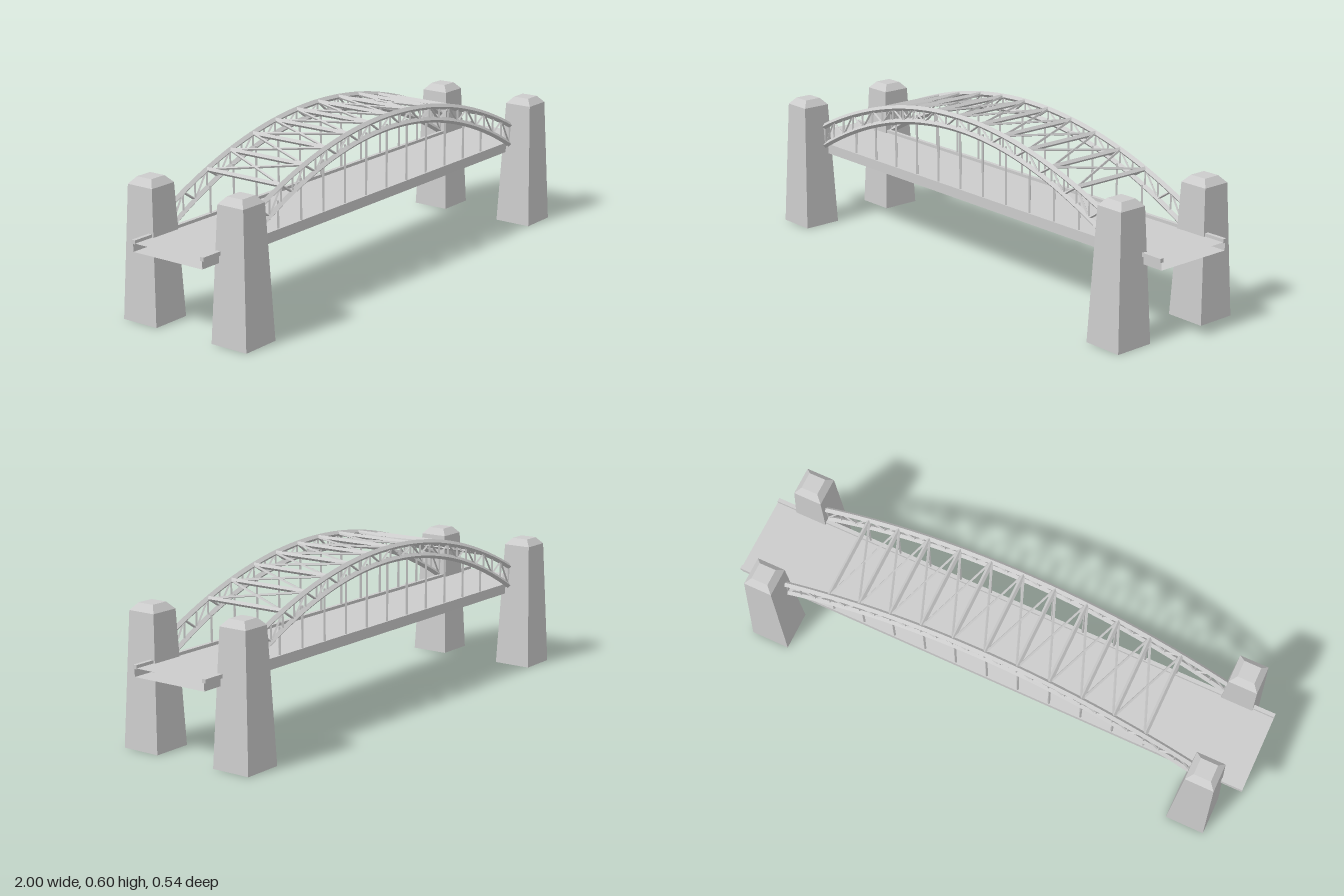
import * as THREE from 'three';

const grey = new THREE.MeshStandardMaterial({ color: 0xcccccc, flatShading: true });
const greyOpen = new THREE.MeshStandardMaterial({ color: 0xcccccc, flatShading: true, side: THREE.DoubleSide });

const SPAN = 0.8, PANELS = 26, ARCH_Z = 0.163, KERB_Z = 0.149;
const upperY = x => 0.591 - 0.312 * x * x;
const lowerY = x => 0.545 - 0.36 * x * x;
const v = (x, y, z) => new THREE.Vector3(x, y, z);

function add(parent, name, geometry, material = grey) {
  const mesh = new THREE.Mesh(geometry, material);
  mesh.name = name;
  parent.add(mesh);
  return mesh;
}

// Straight four-sided bar between two points
function bar(parent, name, a, b, r) {
  const mesh = add(parent, name, new THREE.CylinderGeometry(r, r, a.distanceTo(b), 4));
  mesh.position.copy(a).lerp(b, 0.5);
  mesh.quaternion.setFromUnitVectors(v(0, 1, 0), b.clone().sub(a).normalize());
  return mesh;
}

// Curved chord with a diamond section
function chord(parent, name, heightAt, z) {
  const pts = [];
  for (let i = 0; i <= PANELS; i++) {
    const x = -0.81 + (1.62 * i) / PANELS;
    pts.push(v(x, heightAt(x), z));
  }
  add(parent, name, new THREE.TubeGeometry(new THREE.CatmullRomCurve3(pts), 52, 0.011, 4), greyOpen);
}

function arch(side) {
  const g = new THREE.Group();
  g.name = side > 0 ? 'frontArch' : 'backArch';
  const z = side * ARCH_Z;
  chord(g, 'upperChord', upperY, z);
  chord(g, 'lowerChord', lowerY, z);
  // Web of posts and alternating diagonals
  for (let i = 0; i <= PANELS; i++) {
    const x = -SPAN + (2 * SPAN * i) / PANELS, n = x + (2 * SPAN) / PANELS;
    bar(g, 'webPost', v(x, lowerY(x), z), v(x, upperY(x), z), 0.0045);
    if (i === PANELS) break;
    const up = i % 2 === 0;
    bar(g, 'webDiagonal', v(x, (up ? lowerY : upperY)(x), z), v(n, (up ? upperY : lowerY)(n), z), 0.0045);
  }
  return g;
}

export function createModel() {
  const model = new THREE.Group();
  model.name = 'archBridge';

  // Deck: a flat box section open at both ends
  const deck = new THREE.Group();
  deck.name = 'deck';
  model.add(deck);
  for (const [name, y, turn] of [['roadSurface', 0.31, -1], ['deckUnderside', 0.28, 1]]) {
    const plate = add(deck, name, new THREE.PlaneGeometry(2, 0.3), greyOpen);
    plate.rotation.x = turn * Math.PI / 2;
    plate.position.y = y;
  }
  for (const side of [1, -1]) {
    const fascia = add(deck, 'deckSide', new THREE.PlaneGeometry(2, 0.03), greyOpen);
    fascia.position.set(0, 0.295, side * 0.15);
    if (side < 0) fascia.rotation.y = Math.PI;
    const kerb = add(deck, 'kerb', new THREE.BoxGeometry(2, 0.014, 0.015));
    kerb.position.set(0, 0.314, side * KERB_Z);
  }

  // Tapered towers with bevelled caps
  const R = Math.SQRT2;
  const profile = [[0, 0], [0.074 * R, 0], [0.054 * R, 0.475], [0.032 * R, 0.5], [0, 0.5]]
    .map(p => new THREE.Vector2(...p));
  const towerGeometry = new THREE.LatheGeometry(profile, 4, Math.PI / 4);
  for (const sx of [1, -1]) for (const sz of [1, -1]) {
    add(model, 'tower', towerGeometry).position.set(sx * 0.858, 0, sz * 0.196);
  }

  model.add(arch(1), arch(-1));

  // Hangers, cross struts and X bracing between the arches
  const step = (4 * SPAN) / PANELS;
  for (let i = -5; i <= 5; i++) {
    const x = i * step, n = x + step;
    bar(model, 'crossStrut', v(x, upperY(x), -ARCH_Z), v(x, upperY(x), ARCH_Z), 0.009);
    for (const side of [1, -1]) {
      bar(model, 'hanger', v(x, 0.31, side * KERB_Z), v(x, lowerY(x) + 0.01, side * KERB_Z), 0.005);
      if (i < 5) {
        bar(model, 'crossBrace', v(x, upperY(x), -side * ARCH_Z), v(n, upperY(n), side * ARCH_Z), 0.005);
      }
    }
  }
  return model;
}
